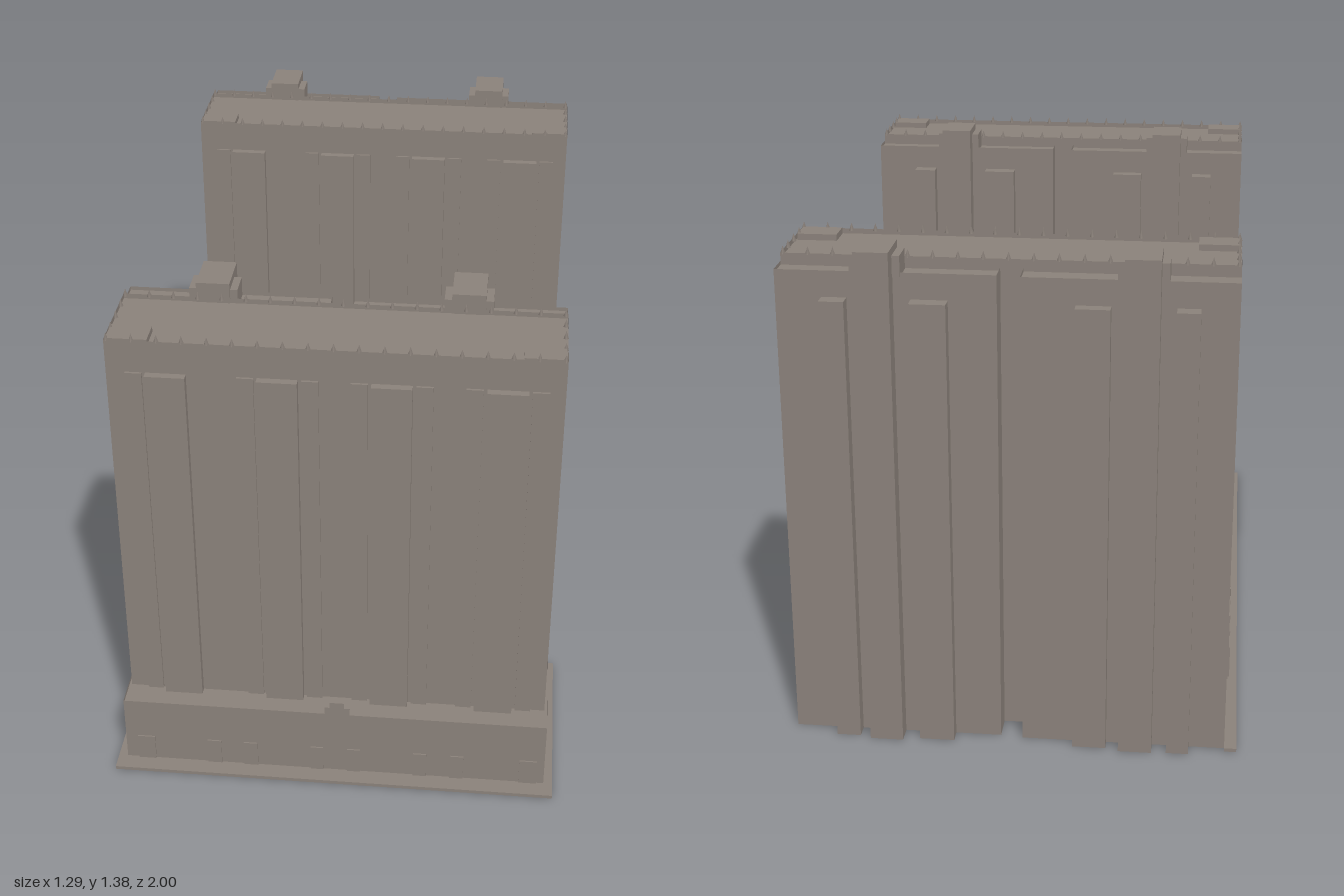
import * as THREE from 'three';

const stone = new THREE.MeshStandardMaterial({ color: 0x8a817a, side: THREE.DoubleSide });
stone.name = 'warm grey stone';

const rect = (x0, x1, z0, z1) => [[x0, z1], [x1, z1], [x1, z0], [x0, z0]];
const flip = (pts) => pts.map(([x, z]) => new THREE.Vector2(x, -z));

function add(group, name, geometry) {
  const mesh = new THREE.Mesh(geometry, stone);
  mesh.name = name;
  group.add(mesh);
  return mesh;
}

// plan outline (x, z) with optional hole
function planShape(pts, hole) {
  const shape = new THREE.Shape(flip(pts));
  if (hole) shape.holes.push(new THREE.Path(flip(hole)));
  return shape;
}

// open-bottomed walls from y0 to y1 with a flat roof at roofY
function shell(group, name, pts, y0, y1, roofY = y1, hole = null) {
  const pos = [];
  pts.forEach(([ax, az], i) => {
    const [bx, bz] = pts[(i + 1) % pts.length];
    pos.push(ax, y0, az, bx, y0, bz, bx, y1, bz, ax, y0, az, bx, y1, bz, ax, y1, az);
  });
  const walls = new THREE.BufferGeometry();
  walls.setAttribute('position', new THREE.Float32BufferAttribute(pos, 3));
  walls.computeVertexNormals();
  add(group, name + 'Walls', walls);
  const roof = new THREE.ShapeGeometry(planShape(pts, hole)).rotateX(-Math.PI / 2);
  add(group, name + 'Roof', roof.translate(0, roofY, 0));
}

function box(group, name, x0, x1, y0, y1, z0, z1) {
  const g = new THREE.BoxGeometry(x1 - x0, y1 - y0, z1 - z0);
  add(group, name, g.translate((x0 + x1) / 2, (y0 + y1) / 2, (z0 + z1) / 2));
}

const X0 = -0.572, X1 = 0.61, BACK = 0.59, FRONT = 0.842;

function tower(name, y0) {
  const g = new THREE.Group();
  g.name = name;
  // main slab with parapet
  shell(g, 'mainSlab', rect(X0, X1, BACK, FRONT), y0, 1.342, 1.328);
  // rear wings either side of the centre slot
  shell(g, 'rearWing', rect(X0, -0.02, 0.507, BACK), y0, 1.32, 1.31);
  shell(g, 'rearWing', rect(0.04, X1, 0.515, BACK), y0, 1.32, 1.31);
  // rear bays
  for (const [a, b, z] of [[-0.475, -0.415, 0.467], [-0.25, -0.16, 0.475],
    [0.165, 0.26, 0.475], [0.425, 0.49, 0.475]]) {
    shell(g, 'rearBay', rect(a, b, z, 0.515), y0, 1.25);
  }
  // stair towers rising above the roof
  for (const [a, b] of [[-0.375, -0.285], [0.305, 0.395]]) {
    shell(g, 'stairTower', rect(a, b, 0.463, 0.592), y0, 1.385);
    box(g, 'stairShoulder', a - 0.02, b + 0.02, 1.31, 1.365, 0.51, 0.585);
  }
  // front bays flanked by shallow strips
  [-0.416, -0.126, 0.169, 0.464].forEach((c, i) => {
    shell(g, 'frontBay', rect(c - 0.053, c + 0.053, FRONT, 0.864), y0, 1.25);
    for (const s of [-1, 1]) {
      if (i === 0 && s === 1) continue;
      const m = c + s * 0.084;
      shell(g, 'frontStrip', rect(m - 0.022, m + 0.022, FRONT, 0.849), y0, 1.25);
    }
  });
  // front corner blocks on the roof
  box(g, 'cornerBlock', X0 + 0.004, -0.46, 1.32, 1.345, 0.765, FRONT - 0.003);
  box(g, 'cornerBlock', 0.5, X1 - 0.004, 1.32, 1.345, 0.765, FRONT - 0.003);
  // pinnacles along the parapet
  const spike = (x, z) => add(g, 'pinnacle',
    new THREE.ConeGeometry(0.007, 0.022, 4).translate(x, 1.349, z));
  const n = 18;
  for (let i = 0; i <= n; i++) {
    const x = X0 + 0.006 + (X1 - X0 - 0.012) * i / n;
    spike(x, FRONT - 0.005);
    spike(x, BACK + 0.005);
  }
  for (let i = 1; i < 4; i++) {
    const z = BACK + (FRONT - BACK) * i / 4;
    spike(X0 + 0.006, z);
    spike(X1 - 0.006, z);
  }
  return g;
}

function podium() {
  const g = new THREE.Group();
  g.name = 'podium';
  const L = -0.579, R = 0.618, F = 0.927, IN = 0.435, CR = -0.1, B = -0.577;
  const plan = [[L, F], [R, F], [R, IN], [CR, IN], [CR, B], [L, B]];
  shell(g, 'podium', plan, 0, 0.215, 0.205, rect(X0, X1, 0.507, FRONT));
  // skirting slab around the walls
  const outer = [[-0.605, 0.976], [0.643, 0.976], [0.643, 0.394], [-0.057, 0.394],
    [-0.057, -0.585], [-0.572, -0.585], [-0.572, -0.957], [-0.605, -0.957]];
  const slab = new THREE.ExtrudeGeometry(
    planShape(outer, plan.map(([x, z]) => [x, Math.max(z, B)])),
    { depth: 0.01, bevelEnabled: false });
  add(g, 'skirtingSlab', slab.rotateX(-Math.PI / 2));
  // front openings
  for (const [c, w] of [[-0.52, 0.05], [-0.323, 0.04], [-0.218, 0.04], [-0.028, 0.035],
    [0.077, 0.038], [0.265, 0.038], [0.37, 0.038], [0.572, 0.05]]) {
    box(g, 'frontOpening', c - w / 2, c + w / 2, 0.01, 0.09, F, F + 0.004);
  }
  // side openings of the connecting wing
  for (let i = 0; i < 10; i++) {
    const z = 0.375 - i * 0.1;
    box(g, 'courtOpening', CR, CR + 0.004, 0.01, 0.105, z - 0.037, z + 0.037);
    box(g, 'sideOpening', L - 0.004, L, 0.01, 0.105, z - 0.037, z + 0.037);
  }
  // stepped gables on the parapets
  box(g, 'frontGable', -0.005, 0.065, 0.21, 0.238, F - 0.008, F);
  box(g, 'frontGable', 0.01, 0.05, 0.238, 0.256, F - 0.008, F);
  for (const z of [0.06, -0.34]) {
    for (const x of [L, CR - 0.008]) {
      box(g, 'sideGable', x, x + 0.008, 0.21, 0.238, z - 0.037, z + 0.037);
      box(g, 'sideGable', x, x + 0.008, 0.238, 0.256, z - 0.02, z + 0.02);
    }
  }
  return g;
}

export function createModel() {
  const model = new THREE.Group();
  model.name = 'twinSlabBuilding';
  const complex = new THREE.Group();
  complex.name = 'complex';
  const rear = tower('rearTower', 0);
  rear.position.z = -1.447;
  complex.add(podium(), tower('frontTower', 0.2), rear);
  // slight turn of the whole plan
  complex.rotation.y = -0.0385;
  model.add(complex);
  return model;
}
